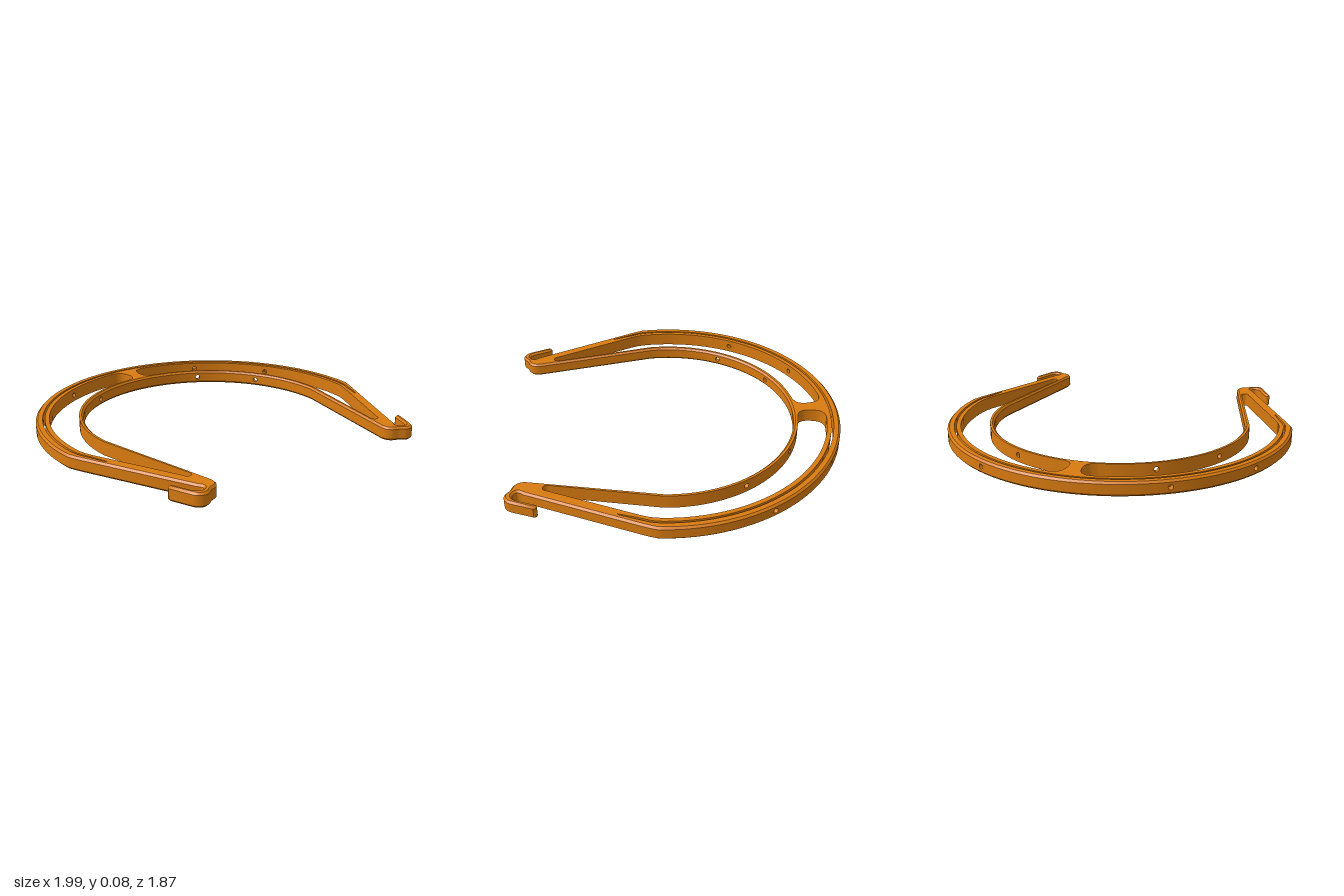
import * as THREE from 'three';
import { toCreasedNormals } from 'three/addons/utils/BufferGeometryUtils.js';

const H = 0.077;          // thickness of the frame
const C = 0.011;          // chamfer on the outer outline
const CZ = 0.06;          // z of the common centre of all arcs
const STEP = 3;           // degrees per arc segment
const PIN_R = 0.014;      // radius of the radial pin holes
const PIN_ANGLES = [-60, -30, 30, 60];
const R = { outer: 0.995, slotOut: 0.957, slotIn: 0.945, gapOut: 0.92, gapIn: 0.755, inner: 0.73 };

const rad = THREE.MathUtils.degToRad;
const v2 = (x, z) => new THREE.Vector2(x, z);

// Plan points (x, z) on an arc; angles in degrees, measured from the back
function arc(r, from, to) {
  const n = Math.round(Math.abs(to - from) / STEP);
  return Array.from({ length: n + 1 }, (_, i) => {
    const a = rad(from + (to - from) * i / n);
    return v2(r * Math.sin(a), CZ - r * Math.cos(a));
  });
}
const round = (...p) => new THREE.SplineCurve(p.map(q => v2(...q))).getPoints(p.length * 3);
const mirror = pts => pts.map(p => v2(-p.x, p.y)).reverse();
const wind = (pts, ccw) => (THREE.ShapeUtils.area(pts) > 0) === ccw ? pts : pts.slice().reverse();

// Moves a closed outline towards the material, which lies on its left
function inset(pts, d) {
  const left = (a, b) => v2(a.y - b.y, b.x - a.x).normalize();
  return pts.map((p, i) => {
    const n1 = left(pts.at(i - 1), p), n2 = left(p, pts[(i + 1) % pts.length]);
    return p.clone().addScaledVector(n1.clone().add(n2), d / (1 + n1.dot(n2)));
  });
}

function createOutlines() {
  // Right half of the outer outline: back, leg, hook, then the inner edge
  const half = [
    ...arc(R.outer, 1.5, 94.5),
    ...round([0.989, 0.165], [0.978, 0.196], [0.96, 0.238]),
    ...round([0.678, 0.835], [0.663, 0.857], [0.664, 0.875], [0.68, 0.888],
      [0.7, 0.889], [0.718, 0.875], [0.728, 0.855]),
    ...round([0.76, 0.775], [0.766, 0.764], [0.778, 0.759], [0.79, 0.765], [0.794, 0.778]),
    ...round([0.75, 0.885], [0.737, 0.91], [0.717, 0.926], [0.695, 0.932], [0.672, 0.927],
      [0.655, 0.915], [0.638, 0.903], [0.61, 0.893], [0.592, 0.878], [0.58, 0.855], [0.578, 0.83]),
    ...arc(R.inner, 94.5, 1.5),
  ];
  // Thin slot that follows the outer band
  const slot = [
    ...arc(R.slotOut, 1.5, 94.5),
    ...round([0.95, 0.165], [0.941, 0.2], [0.918, 0.258]),
    v2(0.875, 0.358), v2(0.87, 0.356),
    ...round([0.905, 0.258], [0.929, 0.2], [0.938, 0.165]),
    ...arc(R.slotIn, 94.5, 1.5),
  ];
  // Wide gap between the outer and the inner band, ending at the rear strut
  const gap = [
    ...arc(R.gapOut, 7.5, 94.5),
    ...round([0.913, 0.165], [0.905, 0.2], [0.888, 0.245]),
    ...round([0.668, 0.715], [0.662, 0.73], [0.648, 0.738], [0.632, 0.735], [0.624, 0.722], [0.625, 0.705]),
    ...arc(R.gapIn, 94.5, 7.5),
    ...round([0.08, -0.694], [0.053, -0.708], [0.039, -0.735], [0.037, -0.765],
      [0.043, -0.802], [0.056, -0.832], [0.08, -0.848], [0.1, -0.852]),
  ];
  return {
    outer: wind([...half, ...mirror(half)], true),
    holes: [[...slot, ...mirror(slot)], gap, mirror(gap)].map(h => wind(h, false)),
  };
}

function createFrameGeometry() {
  const pos = [];
  const tri = (...pts) => pts.forEach(p => pos.push(p.x, p.y, p.z));
  const quad = (a, b, c, d) => { tri(a, b, c); tri(a, c, d); };
  const at = (p, y) => new THREE.Vector3(p.x, y, p.y);

  const circle = Array.from({ length: 16 }, (_, i) => {
    const a = i * Math.PI / 8;
    return v2(PIN_R * Math.cos(a), PIN_R * Math.sin(a));
  });

  // One wall segment pierced by a round pin hole
  function piercedWall(a, b, y0, y1) {
    const len = a.distanceTo(b);
    const rect = [v2(0, y0), v2(len, y0), v2(len, y1), v2(0, y1)];
    const hole = circle.map(p => v2(len / 2 + p.x, H / 2 + p.y)).reverse();
    const all = [...rect, ...hole].map(p => at(a.clone().lerp(b, p.x / len), p.y));
    for (const [i, j, k] of THREE.ShapeUtils.triangulateShape(rect, [hole])) tri(all[i], all[k], all[j]);
  }

  // Strip between two matching outlines at two heights
  function wall(low, y0, high, y1, pierced) {
    low.forEach((a, i) => {
      const j = (i + 1) % low.length, b = low[j];
      const mid = a.clone().add(b).multiplyScalar(0.5);
      const angle = THREE.MathUtils.radToDeg(Math.atan2(mid.x, CZ - mid.y));
      if (pierced && PIN_ANGLES.some(p => Math.abs(p - angle) < 0.1)) piercedWall(a, b, y0, y1);
      else quad(at(a, y0), at(high[i], y1), at(high[j], y1), at(b, y0));
    });
  }

  const { outer, holes } = createOutlines();
  const rim = inset(outer, C);

  // Chamfered outer wall and plain walls of the openings
  wall(rim, 0, outer, C, false);
  wall(outer, C, outer, H - C, true);
  wall(outer, H - C, rim, H, false);
  holes.forEach(h => wall(h, 0, h, H, true));

  // Top and bottom faces
  const flat = [rim, ...holes].flat();
  for (const [i, j, k] of THREE.ShapeUtils.triangulateShape(rim, holes)) {
    const [a, b, c] = [flat[i], flat[j], flat[k]];
    const [p, q] = THREE.ShapeUtils.area([a, b, c]) > 0 ? [b, c] : [c, b];
    tri(at(a, H), at(q, H), at(p, H));
    tri(at(a, 0), at(p, 0), at(q, 0));
  }

  // Linings of the radial pin holes through each band
  const chord = Math.cos(rad(STEP / 2));
  for (const deg of PIN_ANGLES) {
    const s = Math.sin(rad(deg)), c = Math.cos(rad(deg));
    const point = (r, p) => new THREE.Vector3(r * chord * s + p.x * c, H / 2 + p.y, CZ - r * chord * c + p.x * s);
    for (const [r0, r1] of [[R.slotOut, R.outer], [R.gapOut, R.slotIn], [R.inner, R.gapIn]]) {
      circle.forEach((p, i) => {
        const q = circle[(i + 1) % circle.length];
        quad(point(r0, p), point(r0, q), point(r1, q), point(r1, p));
      });
    }
  }

  const geometry = new THREE.BufferGeometry();
  geometry.setAttribute('position', new THREE.Float32BufferAttribute(pos, 3));
  return toCreasedNormals(geometry, 0.5);
}

export function createModel() {
  const group = new THREE.Group();
  group.name = 'headband';
  const frame = new THREE.Mesh(createFrameGeometry(), new THREE.MeshStandardMaterial({ color: 0xd97b10 }));
  frame.name = 'headbandFrame';
  group.add(frame);
  return group;
}
